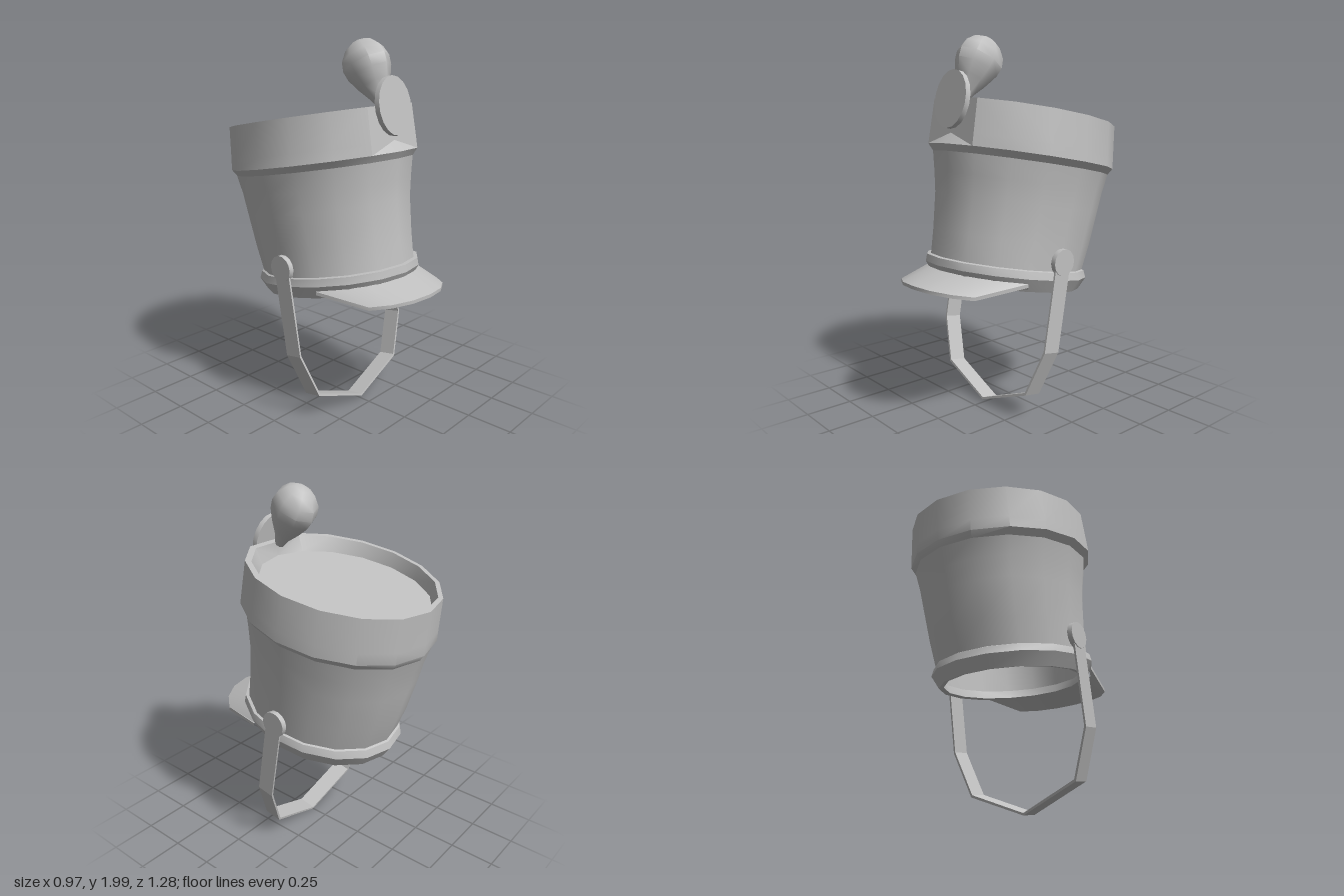
import * as THREE from 'three';
import { toCreasedNormals } from 'three/addons/utils/BufferGeometryUtils.js';

const SIDES = 16;
const TILT = 0.175; // height gained per unit of z, the whole hat leans back

const felt = new THREE.MeshStandardMaterial({ color: 0xc0c0c0 });
felt.name = 'light grey';

function addMesh(group, name, geometry, crease = 0.6) {
  const mesh = new THREE.Mesh(toCreasedNormals(geometry, crease), felt);
  mesh.name = name;
  group.add(mesh);
  return mesh;
}

// Joins rows of points into a skin; diagonals are mirrored about the middle
function loft(rows) {
  const out = [];
  const tri = (a, b, c) => {
    const n = new THREE.Vector3().subVectors(b, a).cross(new THREE.Vector3().subVectors(c, a));
    if (n.length() > 1e-9) for (const p of [a, b, c]) out.push(p.x, p.y, p.z);
  };
  for (let r = 0; r < rows.length - 1; r++) {
    const up = rows[r], lo = rows[r + 1], n = up.length - 1;
    for (let k = 0; k < n; k++) {
      const a = up[k], b = up[k + 1], c = lo[k], d = lo[k + 1];
      if (k < n / 2) { tri(a, c, d); tri(a, d, b); }
      else { tri(a, c, b); tri(b, c, d); }
    }
  }
  const g = new THREE.BufferGeometry();
  g.setAttribute('position', new THREE.Float32BufferAttribute(out, 3));
  return g;
}

// Tilted elliptical ring starting at the front; flat pulls the front point in
function ring([y, rx, rz, cz, flat]) {
  const pts = [];
  for (let k = 0; k <= SIDES; k++) {
    const a = (k / SIDES) * Math.PI * 2;
    const front = flat && k % SIDES === 0;
    const z = cz + rz * (front ? Math.cos((Math.PI * 2) / SIDES) : Math.cos(a));
    pts.push(new THREE.Vector3(rx * Math.sin(a), y + TILT * z, z));
  }
  return pts;
}

export function createModel() {
  const hat = new THREE.Group();
  hat.name = 'paradeHat';
  const rings = (name, list) => addMesh(hat, name, loft(list.map(ring)));

  // Crown, from the sunken lid down to the hollow inside: [y, rx, rz, cz, flat]
  rings('lid', [[1.54, 0, 0, -0.13], [1.54, 0.42, 0.46, -0.13]]);
  rings('rim', [
    [1.54, 0.42, 0.46, -0.13],
    [1.617, 0.44, 0.49, -0.125, true],
    [1.617, 0.467, 0.52, -0.12, true],
    [1.44, 0.481, 0.527, -0.097, true],
    [1.38, 0.485, 0.53, -0.09],
    [1.345, 0.455, 0.508, -0.09],
  ]);
  rings('body', [
    [1.345, 0.455, 0.508, -0.09],
    [1.24, 0.435, 0.489, -0.074],
    [1.13, 0.42, 0.475, -0.06],
    [0.935, 0.402, 0.457, -0.022],
    [0.79, 0.392, 0.44, 0.015],
  ]);
  rings('headband', [
    [0.795, 0.39, 0.44, 0.015],
    [0.79, 0.405, 0.458, 0.02],
    [0.75, 0.415, 0.467, 0.018],
    [0.68, 0.375, 0.425, 0.02],
    [0.685, 0.35, 0.4, 0.02],
    [0.73, 0.36, 0.41, 0.02],
  ]);
  rings('lining', [
    [0.73, 0.36, 0.41, 0.02],
    [0.935, 0.375, 0.43, -0.022],
    [1.13, 0.395, 0.45, -0.06],
    [1.34, 0.43, 0.48, -0.09],
    [1.34, 0, 0, -0.09],
  ]);

  // Visor: inner edge follows the headband, outer edge droops at the sides
  const half = [[0.375, 0.76, 0.2], [0.295, 0.727, 0.48], [0.22, 0.74, 0.565], [0.12, 0.75, 0.62]];
  const outer = [
    ...half.map(([x, y, z]) => new THREE.Vector3(-x, y, z)),
    new THREE.Vector3(0, 0.755, 0.64),
    ...half.slice().reverse().map(([x, y, z]) => new THREE.Vector3(x, y, z)),
  ];
  const inner = outer.map((p, i) => {
    const a = THREE.MathUtils.degToRad(-67 + (134 * i) / 8);
    const z = 0.02 + 0.45 * Math.cos(a);
    return new THREE.Vector3(0.4 * Math.sin(a), 0.725 + TILT * z, z);
  });
  const drop = (pts, d) => pts.map((p) => new THREE.Vector3(p.x, p.y - d, p.z));
  addMesh(hat, 'visor', loft([inner, outer, drop(outer, 0.018), drop(inner, 0.03)]), 0.5);

  // Chin strap: flat band swept along a mirrored path
  const strapRow = (path, side) => {
    const full = [
      ...path.map(([x, y]) => [-x, y]),
      ...path.slice(0, -1).reverse(),
    ];
    return full.map(([x, y]) => new THREE.Vector3(x, y + side * 0.0085, 0.15 - TILT * y + side * 0.049));
  };
  const out = [[0.427, 0.86], [0.427, 0.385], [0.33, 0.14], [0, 0.015]];
  const inn = [[0.417, 0.86], [0.417, 0.39], [0.322, 0.151], [0, 0.027]];
  addMesh(hat, 'chinStrap', loft([
    strapRow(out, 1), strapRow(out, -1), strapRow(inn, -1), strapRow(inn, 1), strapRow(out, 1),
  ]), 0.3);

  // Strap buttons
  for (const s of [-1, 1]) {
    const button = addMesh(hat, s > 0 ? 'leftButton' : 'rightButton',
      new THREE.CylinderGeometry(0.07, 0.07, 0.028, 14));
    button.rotation.z = Math.PI / 2;
    button.position.set(s * 0.418, 0.85, 0);
  }

  // Oval badge plate on the flat front of the rim
  const badgeShape = new THREE.CylinderGeometry(0.128, 0.128, 0.028, 18);
  badgeShape.scale(1, 1, 0.148 / 0.128);
  const badge = addMesh(hat, 'badge', badgeShape);
  badge.rotation.x = Math.PI / 2 - Math.atan(TILT);
  badge.position.set(0, 1.675, 0.379);

  // Plume: pear-shaped pompom leaning back
  const profile = [[0, 0], [0.025, 0], [0.048, 0.06], [0.09, 0.13], [0.121, 0.195], [0.13, 0.245],
    [0.118, 0.295], [0.08, 0.342], [0.04, 0.363], [0, 0.37]];
  const plumeShape = new THREE.LatheGeometry(profile.map(([r, y]) => new THREE.Vector2(r, y)), 8);
  plumeShape.scale(0.9, 1, 1);
  const plume = addMesh(hat, 'plume', plumeShape, 0.85);
  plume.rotation.x = -Math.atan2(0.115, 0.21);
  plume.position.set(0, 1.66, 0.32);

  return hat;
}
